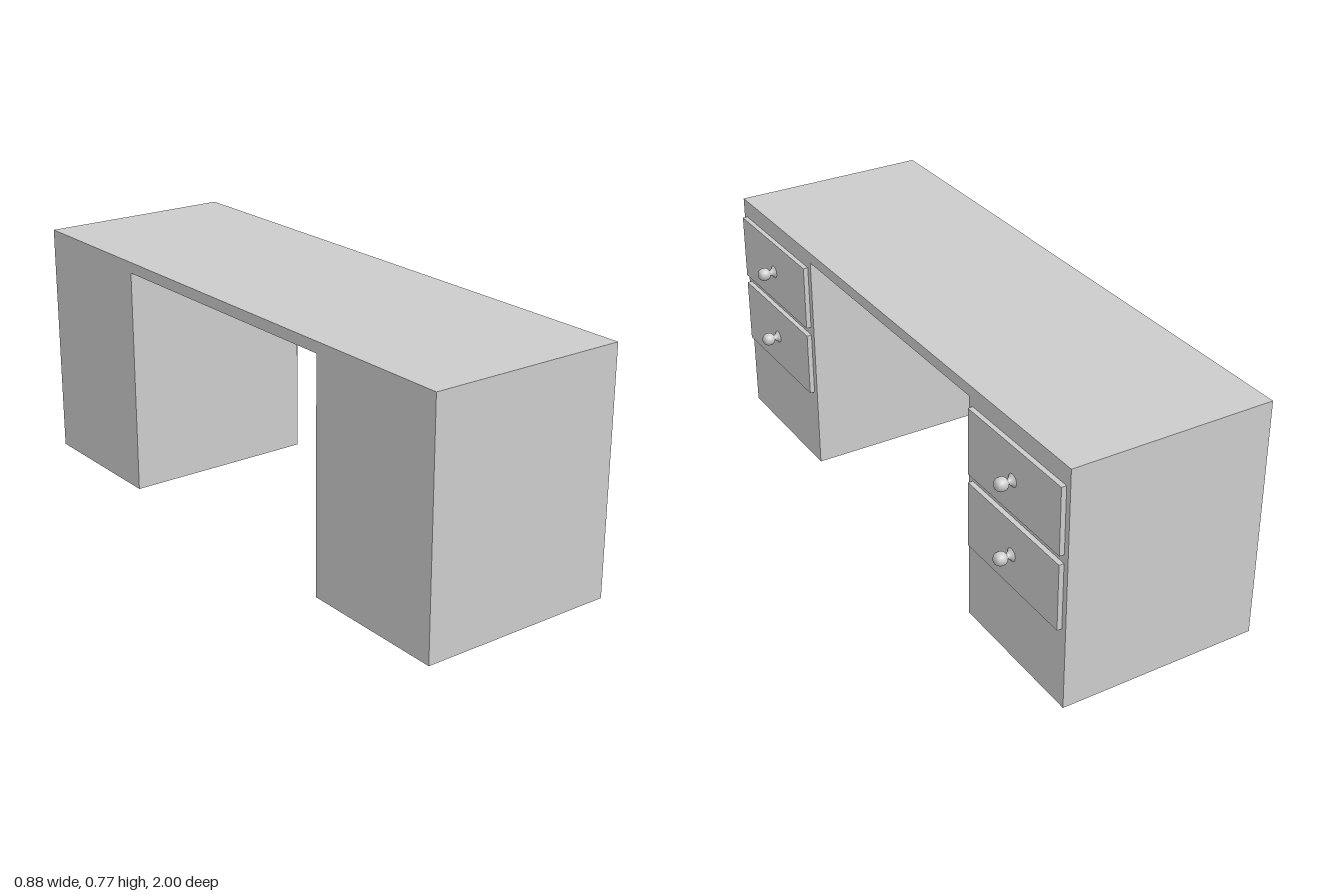
import * as THREE from 'three';

const material = new THREE.MeshStandardMaterial({ color: 0xcccccc });
const WIDTH = 0.645, HALF_LENGTH = 0.972, HEIGHT = 0.77;
const INNER = 0.48, UNDERSIDE = 0.735;

function addMesh(parent, name, geometry) {
  const mesh = new THREE.Mesh(geometry, material);
  mesh.name = name;
  parent.add(mesh);
  return mesh;
}

// Two pedestals joined by a flush top, as one bridge-shaped profile
function bodyGeometry() {
  const shape = new THREE.Shape([
    [-HALF_LENGTH, 0], [-INNER, 0], [-INNER, UNDERSIDE], [INNER, UNDERSIDE],
    [INNER, 0], [HALF_LENGTH, 0], [HALF_LENGTH, HEIGHT], [-HALF_LENGTH, HEIGHT],
  ].map(([x, y]) => new THREE.Vector2(x, y)));
  return new THREE.ExtrudeGeometry(shape, { depth: WIDTH, bevelEnabled: false })
    .translate(0, 0, -WIDTH / 2)
    .rotateY(Math.PI / 2);
}

// Turned knob: flared foot, thin neck, rounded head, pointing along +x
function knobGeometry() {
  const profile = [
    [0.02, 0], [0.013, 0.006], [0.0085, 0.013], [0.0105, 0.017], [0.016, 0.021],
    [0.02, 0.027], [0.0205, 0.034], [0.02, 0.042], [0.016, 0.049], [0.011, 0.0535], [0, 0.055],
  ].map(([r, y]) => new THREE.Vector2(r, y));
  return new THREE.LatheGeometry(profile, 24).rotateZ(-Math.PI / 2);
}

export function createModel() {
  const model = new THREE.Group();
  model.name = 'desk';

  // The desk stands slightly turned
  const desk = new THREE.Group();
  desk.name = 'turnedDesk';
  desk.position.x = -0.0225;
  desk.rotation.y = -0.098;
  model.add(desk);

  addMesh(desk, 'deskBody', bodyGeometry());

  // Two drawers with knobs on each pedestal
  const panel = new THREE.BoxGeometry(0.0155, 0.212, 0.454);
  const knob = knobGeometry();
  for (const z of [0.727, -0.727]) {
    for (const y of [0.605, 0.365]) {
      const drawer = new THREE.Group();
      drawer.name = 'drawer';
      drawer.position.set(WIDTH / 2, y, z);
      addMesh(drawer, 'drawerFront', panel).position.x = 0.00775;
      addMesh(drawer, 'drawerKnob', knob).position.x = 0.0155;
      desk.add(drawer);
    }
  }
  return model;
}
